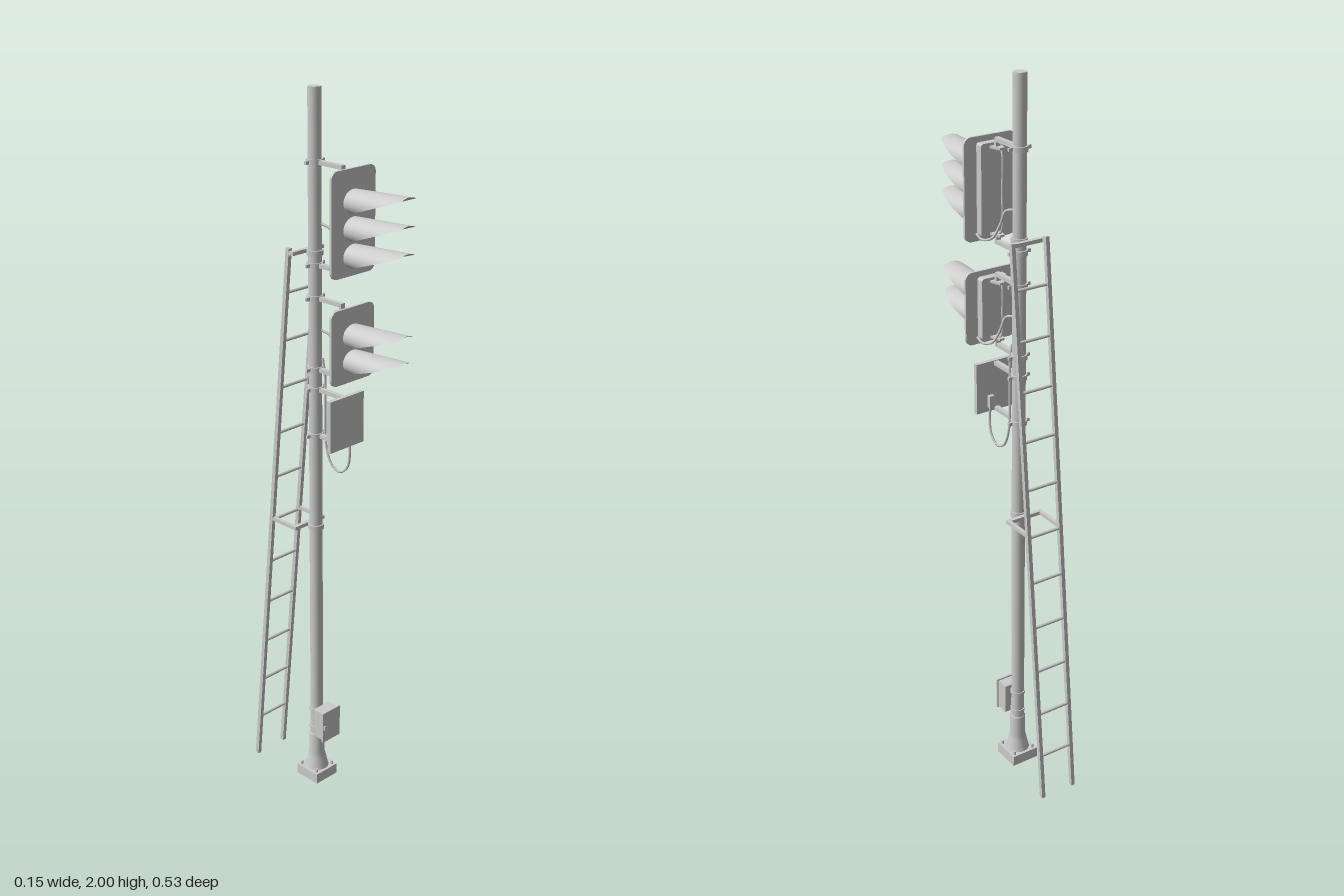
import * as THREE from 'three';

const grey = new THREE.MeshStandardMaterial({ color: 0xcccccc });
const thin = new THREE.MeshStandardMaterial({ color: 0xcccccc, side: THREE.DoubleSide });
const POLE_Z = -0.056;
const V = (x, y, z) => new THREE.Vector3(x, y, z);

function add(parent, name, geometry, x = 0, y = 0, z = 0, material = grey) {
  const mesh = new THREE.Mesh(geometry, material);
  mesh.name = name;
  mesh.position.set(x, y, z);
  parent.add(mesh);
  return mesh;
}

const box = (parent, name, w, h, d, x, y, z) =>
  add(parent, name, new THREE.BoxGeometry(w, h, d), x, y, z);

// Straight round bar between two points
function bar(parent, name, a, b, r) {
  const mesh = add(parent, name, new THREE.CylinderGeometry(r, r, a.distanceTo(b), 8));
  mesh.position.copy(a).add(b).multiplyScalar(0.5);
  mesh.quaternion.setFromUnitVectors(V(0, 1, 0), b.clone().sub(a).normalize());
  return mesh;
}

function cable(parent, name, points, r = 0.0035) {
  const curve = new THREE.CatmullRomCurve3(points.map(p => V(...p)));
  add(parent, name, new THREE.TubeGeometry(curve, 32, r, 6));
}

// Plate with rounded corners, extruded towards +z
function roundedPlate(w, h, r, depth) {
  const s = new THREE.Shape();
  const x = w / 2, y = h / 2;
  s.moveTo(-x + r, -y);
  s.lineTo(x - r, -y);
  s.absarc(x - r, -y + r, r, -Math.PI / 2, 0);
  s.absarc(x - r, y - r, r, 0, Math.PI / 2);
  s.absarc(-x + r, y - r, r, Math.PI / 2, Math.PI);
  s.absarc(-x + r, -y + r, r, Math.PI, Math.PI * 1.5);
  return new THREE.ExtrudeGeometry(s, { depth, bevelEnabled: false, curveSegments: 6 });
}

// Flaring hood cut by a slanted plane: full ring at the lamp, top sliver at the tip
function visorGeometry() {
  const rows = 20, cols = 24, length = 0.182;
  const geo = new THREE.PlaneGeometry(1, 1, cols, rows);
  const pos = geo.attributes.position;
  for (let i = 0; i < pos.count; i++) {
    const t = 0.5 - pos.getY(i), u = pos.getX(i) * 2;
    const rx = 0.036 + 0.012 * t, ry = 0.031 + 0.009 * t;
    const cut = -0.031 + 0.065 * t;
    const a = u * Math.acos(THREE.MathUtils.clamp(cut / ry, -1, 1));
    pos.setXYZ(i, rx * Math.sin(a), ry * Math.cos(a), length * t);
  }
  geo.computeVertexNormals();
  return geo;
}

// Clamp round the pole with an arm reaching forward to zEnd
function poleBracket(parent, y, zEnd) {
  const g = new THREE.Group();
  g.name = 'poleBracket';
  add(g, 'clampBand', new THREE.CylinderGeometry(0.022, 0.022, 0.014, 16), 0, y, POLE_Z);
  box(g, 'clampLugs', 0.066, 0.009, 0.006, 0, y, POLE_Z);
  const z0 = POLE_Z + 0.015;
  box(g, 'arm', 0.013, 0.011, zEnd - z0, 0, y, (zEnd + z0) / 2);
  parent.add(g);
}

function signalHead(name, y0, y1, lamps) {
  const g = new THREE.Group();
  g.name = name;
  const h = y1 - y0, mid = (y0 + y1) / 2;
  add(g, 'backPlate', roundedPlate(0.154, h, 0.02, 0.007), 0, mid, 0.074);
  add(g, 'housing', roundedPlate(0.082, h - 0.03, 0.008, 0.024), 0, mid, 0.052);
  const visor = visorGeometry();
  const lens = new THREE.SphereGeometry(0.026, 20, 6, 0, Math.PI * 2, 0, Math.PI / 2);
  lens.rotateX(Math.PI / 2).scale(1, 1, 0.3);
  for (const y of lamps) {
    add(g, 'visor', visor, 0, y, 0.081, thin);
    add(g, 'lens', lens, 0, y, 0.081);
    add(g, 'lensRing', new THREE.TorusGeometry(0.028, 0.003, 6, 24), 0, y, 0.082);
  }
  // Arms above and below, each with a tapered foot joined to the housing
  const foot = new THREE.Shape([[-0.007, 0.02], [0.007, 0.02], [0.018, 0.056], [-0.018, 0.056]]
    .map(p => new THREE.Vector2(...p)));
  const footGeo = new THREE.ExtrudeGeometry(foot, { depth: 0.006, bevelEnabled: false });
  footGeo.rotateX(Math.PI / 2);
  for (const s of [-1, 1]) {
    const y = s > 0 ? y1 - 0.005 : y0 + 0.001;
    poleBracket(g, y, 0.045);
    box(g, 'armDrop', 0.014, 0.026, 0.008, 0, y - s * 0.011, 0.041);
    add(g, 'armFoot', footGeo, 0, y - s * 0.02 + 0.003, 0);
  }
  // Thin rod behind the housing
  cable(g, 'backRod', [[0, y1 - 0.024, 0.045], [0, y1 - 0.03, 0.024], [0, mid, 0.021],
    [0, y0 + 0.032, 0.024], [0, y0 + 0.022, 0.045]], 0.003);
  // Feed cable from the pole to the underside of the housing
  cable(g, 'feedCable', [[0.008, y0 + 0.108, -0.04], [0.014, y0 + 0.098, -0.015],
    [0.022, y0 + 0.06, -0.002], [0.036, y0 + 0.025, 0.012], [0.046, y0 + 0.014, 0.045],
    [0.046, y0 + 0.022, 0.068]]);
  return g;
}

function ladder() {
  const g = new THREE.Group();
  g.name = 'ladder';
  const top = 1.595, zAt = y => -0.257 + (y / top) * 0.158;
  const tilt = Math.atan2(0.158, top);
  for (const s of [-1, 1]) {
    const rail = box(g, 'rail', 0.011, Math.hypot(top, 0.158), 0.012, s * 0.051, top / 2, zAt(top / 2));
    rail.rotation.x = tilt;
  }
  for (let i = 1; i <= 11; i++) {
    const y = i * 0.134;
    bar(g, 'rung', V(-0.05, y, zAt(y)), V(0.05, y, zAt(y)), 0.0045);
  }
  // Stays holding the rails to the pole
  for (const y of [0.81, 1.583]) {
    box(g, 'stayCrossbar', 0.112, 0.01, 0.012, 0, y, -0.085);
    for (const s of [-1, 1]) {
      const z = zAt(y);
      box(g, 'staySide', 0.01, 0.01, Math.abs(z + 0.08), s * 0.051, y, (z - 0.08) / 2);
    }
    add(g, 'stayClamp', new THREE.CylinderGeometry(0.022, 0.022, 0.014, 16), 0, y, POLE_Z);
  }
  return g;
}

function base() {
  const g = new THREE.Group();
  g.name = 'base';
  // Hollow footing: square frame closed by a lid
  const frame = new THREE.Shape([[-1, -1], [1, -1], [1, 1], [-1, 1]]
    .map(([x, y]) => new THREE.Vector2(x * 0.041, y * 0.041)));
  frame.holes.push(new THREE.Path([[-1, -1], [-1, 1], [1, 1], [1, -1]]
    .map(([x, y]) => new THREE.Vector2(x * 0.032, y * 0.032))));
  const frameGeo = new THREE.ExtrudeGeometry(frame, { depth: 0.024, bevelEnabled: false });
  frameGeo.rotateX(-Math.PI / 2);
  add(g, 'footingFrame', frameGeo, 0, 0, POLE_Z);
  box(g, 'footingLid', 0.082, 0.008, 0.082, 0, 0.027, POLE_Z);
  const profile = [[0.034, 0.03], [0.03, 0.045], [0.026, 0.065], [0.022, 0.08], [0.022, 0.14], [0.018, 0.145]];
  add(g, 'collar', new THREE.LatheGeometry(profile.map(p => new THREE.Vector2(...p)), 20), 0, 0, POLE_Z);
  for (const sx of [-1, 1]) for (const sz of [-1, 1]) {
    add(g, 'anchorBolt', new THREE.CylinderGeometry(0.004, 0.004, 0.012, 6), sx * 0.031, 0.036, POLE_Z + sz * 0.031);
  }
  return g;
}

export function createModel() {
  const model = new THREE.Group();
  model.name = 'signalMast';

  add(model, 'pole', new THREE.CylinderGeometry(0.0175, 0.0185, 1.97, 20), 0, 1.015, POLE_Z);
  model.add(base());

  // Low junction box with lid and latch
  const junction = new THREE.Group();
  junction.name = 'junctionBox';
  box(junction, 'junctionBody', 0.06, 0.088, 0.036, 0, 0.195, -0.02);
  box(junction, 'junctionLid', 0.068, 0.096, 0.006, 0, 0.195, 0.001);
  box(junction, 'latch', 0.006, 0.012, 0.006, -0.029, 0.195, 0.006);
  for (const y of [0.165, 0.225]) {
    add(junction, 'strap', new THREE.CylinderGeometry(0.021, 0.021, 0.008, 16), 0, y, POLE_Z);
  }
  model.add(junction);

  model.add(signalHead('upperSignalHead', 1.55, 1.82, [1.738, 1.669, 1.6]));
  model.add(signalHead('lowerSignalHead', 1.268, 1.468, [1.392, 1.323]));

  // Flat sign panel with its brackets and cable
  const panel = new THREE.Group();
  panel.name = 'panel';
  box(panel, 'panelPlate', 0.123, 0.143, 0.012, 0, 1.149, 0.056);
  for (const y of [1.213, 1.082]) {
    poleBracket(panel, y, 0.052);
  }
  box(panel, 'cableEntry', 0.016, 0.034, 0.012, 0.02, 1.108, 0.045);
  cable(panel, 'panelCable', [[0.008, 1.3, -0.037], [0.01, 1.25, -0.03], [0.012, 1.15, -0.031],
    [0.014, 1.05, -0.03], [0.016, 1.0, -0.01], [0.018, 0.988, 0.018],
    [0.02, 1.01, 0.044], [0.02, 1.06, 0.052], [0.02, 1.1, 0.046]]);
  model.add(panel);

  model.add(ladder());
  return model;
}
